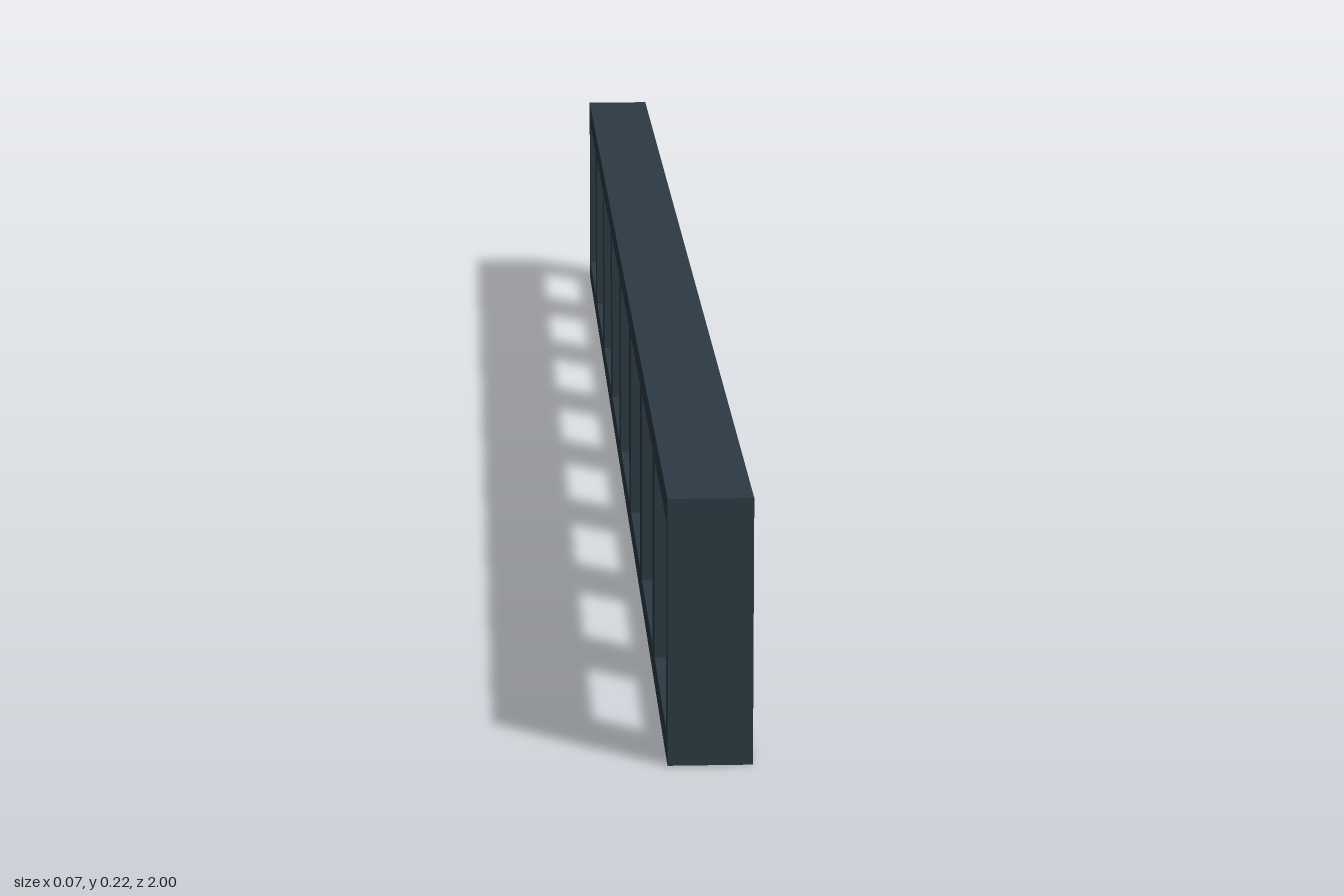
import * as THREE from 'three';

const LENGTH = 2, HEIGHT = 0.225, DEPTH = 0.07;
const BAYS = 8, POST = 0.043, RAIL = 0.024;

// Closed rectangle from its corner, width and height
function rectangle(PathType, x, y, w, h) {
  const p = new PathType();
  p.moveTo(x, y);
  p.lineTo(x + w, y);
  p.lineTo(x + w, y + h);
  p.lineTo(x, y + h);
  p.closePath();
  return p;
}

export function createModel() {
  const group = new THREE.Group();
  group.name = 'ladderFrame';

  const slate = new THREE.MeshStandardMaterial({ color: 0x2c3a44 });
  slate.name = 'darkSlate';

  // Long beam outline with a row of evenly spaced openings
  const outline = rectangle(THREE.Shape, -LENGTH / 2, 0, LENGTH, HEIGHT);
  const pitch = LENGTH / BAYS;
  for (let i = 0; i < BAYS; i++) {
    const start = -LENGTH / 2 + i * pitch + POST / 2;
    outline.holes.push(rectangle(THREE.Path, start, RAIL, pitch - POST, HEIGHT - 2 * RAIL));
  }

  // Extrude to the beam's thickness, then lay its length along z
  const geometry = new THREE.ExtrudeGeometry(outline, { depth: DEPTH, bevelEnabled: false });
  geometry.translate(0, 0, -DEPTH / 2);
  geometry.rotateY(Math.PI / 2);

  const frame = new THREE.Mesh(geometry, slate);
  frame.name = 'railsAndPosts';
  group.add(frame);
  return group;
}
